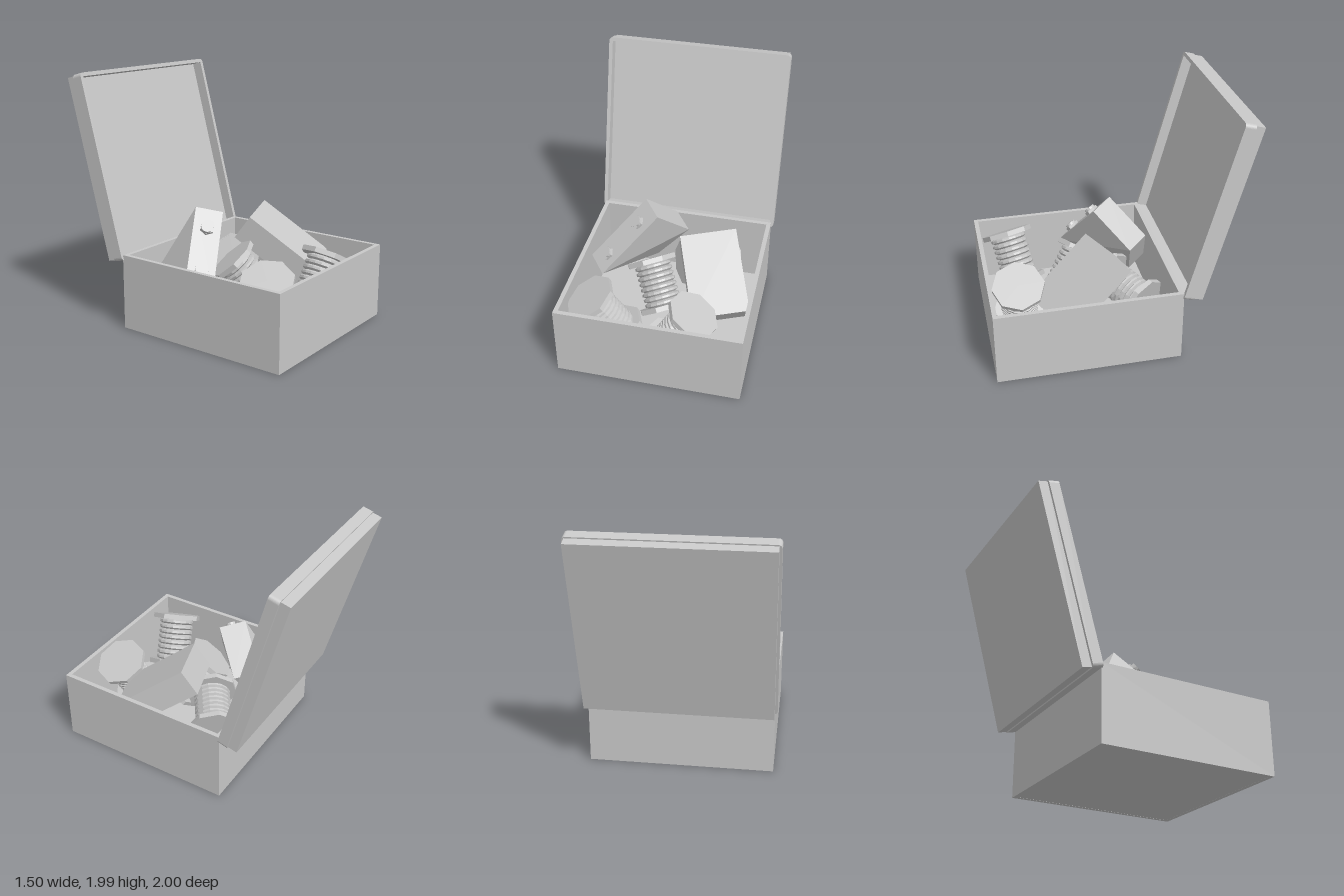
import * as THREE from 'three';
import { ConvexGeometry } from 'three/addons/geometries/ConvexGeometry.js';

const V = (x, y, z) => new THREE.Vector3(x, y, z);
const grey = new THREE.MeshStandardMaterial({ color: 0xc8c8c8, flatShading: true });
grey.name = 'plain grey';

function part(name, geometry, parent, x = 0, y = 0, z = 0) {
  const mesh = new THREE.Mesh(geometry, grey);
  mesh.name = name;
  mesh.position.set(x, y, z);
  parent.add(mesh);
  return mesh;
}

// Rectangle path with rounded corners, centred on the origin
function roundRect(path, w, h, r) {
  const x = w / 2, y = h / 2;
  path.moveTo(-x + r, -y);
  path.lineTo(x - r, -y);
  if (r) path.absarc(x - r, -y + r, r, -Math.PI / 2, 0);
  path.lineTo(x, y - r);
  if (r) path.absarc(x - r, y - r, r, 0, Math.PI / 2);
  path.lineTo(-x + r, y);
  if (r) path.absarc(-x + r, y - r, r, Math.PI / 2, Math.PI);
  path.lineTo(-x, -y + r);
  if (r) path.absarc(-x + r, -y + r, r, Math.PI, Math.PI * 1.5);
  return path;
}

// Rectangular frame extruded along +z
function frame(w, h, wall, depth, r) {
  const shape = roundRect(new THREE.Shape(), w, h, r);
  shape.holes.push(roundRect(new THREE.Path(), w - 2 * wall, h - 2 * wall, 0));
  return new THREE.ExtrudeGeometry(shape, { depth, bevelEnabled: false, curveSegments: 4 });
}

// Group whose local y axis follows a direction
function aligned(name, position, direction, parent) {
  const g = new THREE.Group();
  g.name = name;
  g.position.copy(position);
  g.quaternion.setFromUnitVectors(V(0, 1, 0), direction.clone().normalize());
  parent.add(g);
  return g;
}

// Spool: two octagonal flanges and a ridged winding between two end points
function addSpool(parent, low, high) {
  const axis = high.clone().sub(low), length = axis.length(), t = 0.04, r = 0.21;
  const g = aligned('spool', low, axis, parent);
  const flange = new THREE.CylinderGeometry(r, r, t, 8);
  part('lowerFlange', flange, g, 0, t / 2, 0);
  part('upperFlange', flange, g, 0, length - t / 2, 0);
  const ridges = 8, step = (length - 2 * t) / ridges, profile = [];
  for (let i = 0; i < ridges; i++) {
    const y = t + i * step;
    profile.push(new THREE.Vector2(0.125, y), new THREE.Vector2(0.15, y + step * 0.3),
      new THREE.Vector2(0.15, y + step * 0.7));
  }
  profile.push(new THREE.Vector2(0.125, length - t));
  part('winding', new THREE.LatheGeometry(profile, 16), g);
}

// Slotted hexagonal screw head
function addScrew(parent, position, normal) {
  const g = aligned('screw', position, normal, parent);
  part('screwBase', new THREE.CylinderGeometry(0.058, 0.058, 0.025, 6), g, 0, 0.0125, 0);
  for (const s of [0, Math.PI]) {
    const half = new THREE.CylinderGeometry(0.045, 0.045, 0.02, 6, 1, false, s + 0.15, Math.PI - 0.3);
    part('screwHalf', half, g, Math.cos(s) * 0.01, 0.035, 0);
  }
}

export function createModel() {
  const model = new THREE.Group();
  model.name = 'openBox';

  // Box body
  const body = new THREE.Group();
  body.name = 'boxBody';
  model.add(body);
  part('walls', frame(1.46, 1.467, 0.035, 0.6, 0), body, 0, 0, 0.267).rotation.x = -Math.PI / 2;
  part('floor', new THREE.BoxGeometry(1.45, 0.03, 1.457), body, 0, 0.016, 0.267);

  // Lid leaning back behind the box
  const lid = new THREE.Group();
  lid.name = 'lid';
  lid.position.set(0, 0.558, -0.457);
  lid.rotation.x = -0.265;
  model.add(lid);
  part('lidRim', frame(1.5, 1.487, 0.03, 0.086, 0.03), lid, 0, 0.7435, -0.086);
  part('lidPanel', new THREE.BoxGeometry(1.46, 1.467, 0.077), lid, 0, 0.7435, -0.1245);

  // Faceted block with two screws on its narrow face
  const a = V(-0.27, 0.95, -0.105), b = V(-0.135, 0.905, 0.06);
  const run = V(-0.42, -0.49, 0.225), across = b.clone().sub(a);
  const back = [V(-0.066, 0.66, -0.367), V(-0.348, 0.3, -0.43), V(-0.535, 0.3, -0.298)];
  const corners = [a, b, a.clone().add(run), b.clone().add(run), V(-0.43, 0.42, -0.378),
    ...back, ...back.map(p => p.clone().add(across))];
  const block = new THREE.Group();
  block.name = 'facetedBlock';
  model.add(block);
  part('blockBody', new ConvexGeometry(corners), block);
  const normal = run.clone().cross(across);
  for (const t of [0.25, 0.8]) {
    addScrew(block, a.clone().addScaledVector(across, 0.5).addScaledVector(run, t), normal);
  }

  // Plain block resting at an angle
  const e = V(0.94, 0.077, -0.332).normalize();
  const n = V(0.136, 0.809, 0.572).normalize();
  const f = e.clone().cross(n).negate().normalize();
  const plain = part('plainBlock', new THREE.BoxGeometry(0.452, 0.225, 0.667), model);
  const slope = f.y < 0 ? f : f.clone().negate();
  plain.quaternion.setFromRotationMatrix(
    new THREE.Matrix4().makeBasis(e, n, e.clone().cross(n)));
  plain.position.set(0.075, 0.835, 0.17).addScaledVector(e, 0.226)
    .addScaledVector(n, -0.1125).addScaledVector(slope, 0.3335);

  // Spools, lower end to upper end
  addSpool(model, V(-0.3, 0.2, 0.66), V(-0.52, 0.58, 0.745));
  addSpool(model, V(0.1, 0.2, 0.73), V(0.316, 0.58, 0.755));
  addSpool(model, V(0.0, 0.23, 0.39), V(-0.17, 0.55, 0.16));
  addSpool(model, V(0.42, 0.34, -0.235), V(0.09, 0.44, 0.0));

  return model;
}
